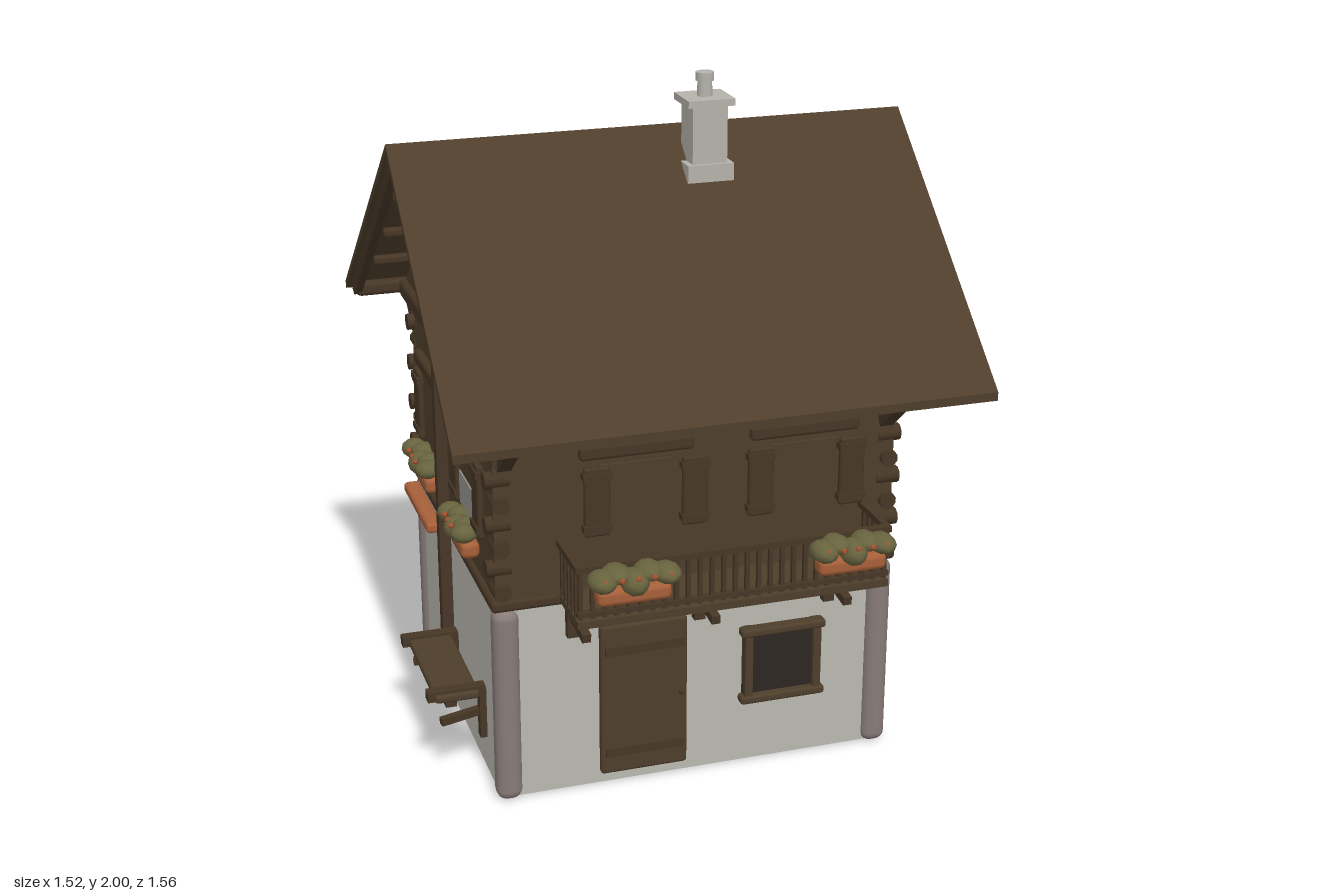
import * as THREE from 'three';
import { RoundedBoxGeometry } from 'three/addons/geometries/RoundedBoxGeometry.js';

const mat = (name, color) => Object.assign(new THREE.MeshStandardMaterial({ color }), { name });
const plaster = mat('plaster', 0xb9b8b0);
const stone = mat('corner stone', 0x867b77);
const wood = mat('brown wood', 0x4e3e2b);
const trim = mat('trim wood', 0x463625);
const pane = mat('dark pane', 0x2c2722);
const curtain = mat('curtain', 0x98948f);
const clay = mat('terracotta', 0xa65f39);
const leaf = mat('foliage', 0x68643f);
const petal = mat('blossom', 0xa8502f);
const chimneyGrey = mat('chimney grey', 0xb4b2aa);

function add(parent, name, geo, material, x = 0, y = 0, z = 0) {
  const m = new THREE.Mesh(geo, material);
  m.name = name;
  m.position.set(x, y, z);
  parent.add(m);
  return m;
}
const box = (p, name, material, w, h, d, x, y, z) =>
  add(p, name, new THREE.BoxGeometry(w, h, d), material, x, y, z);
const soft = (p, name, material, w, h, d, x, y, z) =>
  add(p, name, new RoundedBoxGeometry(w, h, d, 2, Math.min(w, h, d) * 0.35), material, x, y, z);

// Square beam between two points
function beam(p, name, material, a, b, t) {
  const va = new THREE.Vector3(...a), vb = new THREE.Vector3(...b);
  const m = box(p, name, material, t, t, va.distanceTo(vb), 0, 0, 0);
  m.position.copy(va).add(vb).multiplyScalar(0.5);
  m.lookAt(vb);
  return m;
}

// Prism along x from a list of [z, y] points
function prism(points, x0, x1) {
  const shape = new THREE.Shape(points.map(([z, y]) => new THREE.Vector2(-z, y)));
  const g = new THREE.ExtrudeGeometry(shape, { depth: x1 - x0, bevelEnabled: false });
  return g.rotateY(Math.PI / 2).translate(x0, 0, 0);
}

// Heap of leaves with a few blossoms
function flowers(p, w, x, y, z, d = 0.05) {
  const g = new THREE.Group();
  g.name = 'flowers';
  g.position.set(x, y, z);
  p.add(g);
  for (let i = 0; i < 5; i++) {
    const u = (i / 4 - 0.5) * w * 0.75;
    const m = add(g, 'leaves', new THREE.IcosahedronGeometry(1, 1), leaf, u, 0.012 * Math.sin(i * 2.3), 0.01 * Math.cos(i * 3));
    m.scale.set(w * 0.17, 0.03 + 0.008 * Math.sin(i * 4), d);
    add(g, 'blossom', new THREE.IcosahedronGeometry(0.009, 0), petal, u, 0.012, d * 0.9);
  }
}

function flowerBox(p, w, x, y, green = 1) {
  soft(p, 'flowerBox', clay, w, 0.05, 0.055, x, y, 0.03);
  if (green) flowers(p, w, x, y + 0.045, 0.035, 0.04);
}

// Shuttered upper window: x centre, bottom, top, width, shutter positions
function upperWindow(p, x, y0, y1, w, lintelW, shutters) {
  const h = y1 - y0;
  box(p, 'windowPane', wood, w, h, 0.008, x, (y0 + y1) / 2, 0.004);
  soft(p, 'lintel', trim, lintelW, 0.042, 0.03, x, y1 + 0.045, 0.012);
  for (const s of shutters) {
    soft(p, 'shutter', trim, 0.075, h, 0.02, s, (y0 + y1) / 2, 0.014);
    for (const e of [-1, 1]) box(p, 'shutterRail', trim, 0.083, 0.02, 0.03, s, (y0 + y1) / 2 + e * h * 0.38, 0.014);
  }
}

// Framed ground floor window
function lowerWindow(p, x, y, w, h) {
  box(p, 'windowPane', pane, w, h, 0.008, x, y, 0.006);
  for (const s of [-1, 1]) {
    box(p, 'windowJamb', wood, 0.024, h, 0.032, x + s * (w / 2 - 0.012), y, 0.012);
    soft(p, 'windowRail', wood, w + 0.025, 0.026, 0.04, x, y + s * (h / 2 - 0.012), 0.014);
  }
}

export function createModel() {
  const house = new THREE.Group();
  house.name = 'chalet';
  const zf = 0.465, zb = -0.575, zc = (zf + zb) / 2, depth = zf - zb;

  // Walls, base and corners
  box(house, 'lowerWalls', plaster, 1.17, 0.598, depth - 0.01, 0, 0.304, zc);
  box(house, 'floorPlate', wood, 0.95, 0.006, 0.84, 0, 0.003, zc);
  box(house, 'upperWalls', wood, 1.18, 0.56, depth, 0, 0.885, zc);
  soft(house, 'floorBeam', trim, 1.21, 0.035, depth + 0.03, 0, 0.618, zc);
  for (const x of [-1, 1]) for (const z of [zf - 0.02, zb + 0.02]) {
    const c = add(house, 'cornerPillar', new RoundedBoxGeometry(0.075, 0.6, 0.075, 3, 0.03), stone, x * 0.562, 0.3, z);
    c.scale.set(1, 1, 1);
    for (let i = 0; i < 8; i++) {
      const log = add(house, 'logEnd', new THREE.CylinderGeometry(0.025, 0.025, 0.07, 10), trim, x * 0.572, 0.66 + i * 0.066, z);
      if (i % 2) { log.rotation.z = Math.PI / 2; log.position.x += x * 0.005; }
      else { log.rotation.x = Math.PI / 2; log.position.z += Math.sign(z) * 0.005; }
    }
  }

  // Four facades: local x runs along the wall, local z points outward
  const facade = (name, x, z, turn) => {
    const g = new THREE.Group();
    g.name = name;
    g.position.set(x, 0, z);
    g.rotation.y = turn;
    house.add(g);
    return g;
  };
  const front = facade('frontFacade', 0, zf, 0);
  const back = facade('backFacade', 0, zb, Math.PI);
  const left = facade('leftFacade', 0.59, 0, Math.PI / 2);
  const right = facade('rightFacade', -0.59, 0, -Math.PI / 2);

  // Front door and windows
  soft(front, 'door', wood, 0.26, 0.475, 0.03, -0.165, 0.28, 0.008);
  for (const y of [0.115, 0.44]) box(front, 'doorBatten', trim, 0.235, 0.026, 0.02, -0.165, y, 0.022);
  add(front, 'doorKnob', new THREE.SphereGeometry(0.009, 8, 6), trim, -0.055, 0.28, 0.028);
  lowerWindow(front, 0.257, 0.325, 0.235, 0.24);
  upperWindow(front, -0.185, 0.8, 1.005, 0.21, 0.33, [-0.3, -0.015]);
  upperWindow(front, 0.31, 0.8, 1.005, 0.2, 0.325, [0.18, 0.455]);

  // Balcony
  const bal = new THREE.Group();
  bal.name = 'balcony';
  front.add(bal);
  box(bal, 'balconyFloor', wood, 0.91, 0.022, 0.2, 0.045, 0.625, 0.1);
  box(bal, 'topRail', trim, 0.91, 0.018, 0.025, 0.045, 0.79, 0.19);
  box(bal, 'bottomRail', trim, 0.91, 0.014, 0.02, 0.045, 0.655, 0.19);
  for (let i = 0; i <= 26; i++)
    box(bal, 'baluster', trim, 0.012, 0.15, 0.012, -0.4 + i * 0.0342, 0.715, 0.19);
  for (const x of [-0.405, 0.495]) {
    box(bal, 'sideRail', trim, 0.02, 0.018, 0.2, x, 0.79, 0.1);
    for (let i = 0; i < 5; i++) box(bal, 'sideBaluster', trim, 0.012, 0.15, 0.012, x, 0.715, 0.03 + i * 0.035);
  }
  for (const x of [-0.375, 0, 0.395]) {
    box(bal, 'bracketPost', trim, 0.033, 0.11, 0.025, x, 0.555, 0.012);
    beam(bal, 'bracketBrace', trim, [x, 0.53, 0.02], [x, 0.615, 0.15], 0.025);
  }
  for (const [x, w] of [[-0.265, 0.21], [0.367, 0.2]]) {
    soft(bal, 'flowerBox', clay, w, 0.05, 0.06, x, 0.725, 0.235);
    flowers(bal, w * 1.15, x, 0.775, 0.24, 0.055);
  }

  // Left side
  lowerWindow(left, -0.172, 0.322, 0.25, 0.23);
  for (const x of [-0.21, -0.14]) box(left, 'curtain', curtain, 0.06, 0.075, 0.004, x, 0.28, 0.013);
  upperWindow(left, -0.13, 0.785, 1.005, 0.23, 0.315, [-0.285, 0.035]);
  box(left, 'curtain', curtain, 0.225, 0.1, 0.004, -0.13, 0.835, 0.011);
  flowerBox(left, 0.23, -0.145, 0.718);
  upperWindow(left, 0.28, 0.76, 1.025, 0.21, 0.29, [0.41]);
  for (const x of [0.235, 0.32]) box(left, 'curtain', curtain, 0.055, 0.24, 0.004, x, 0.895, 0.011);
  for (const x of [0.185, 0.278, 0.365]) box(left, 'windowBar', trim, 0.018, 0.27, 0.02, x, 0.895, 0.01);
  flowerBox(left, 0.23, 0.29, 0.71, 0);
  box(left, 'wallPlank', trim, 0.055, 0.38, 0.02, 0.527, 0.825, 0.01);
  box(left, 'signPost', trim, 0.048, 0.17, 0.025, 0.055, 0.53, 0.008);
  soft(left, 'trough', clay, 0.35, 0.034, 0.04, 0.205, 0.43, 0.012);

  // Right side
  upperWindow(right, -0.3, 0.785, 1.005, 0.22, 0.3, [-0.44]);
  flowerBox(right, 0.25, -0.3, 0.72);
  upperWindow(right, 0.2, 0.785, 1.005, 0.22, 0.3, [0.06, 0.34]);
  box(right, 'curtain', curtain, 0.2, 0.1, 0.004, 0.2, 0.835, 0.011);
  flowerBox(right, 0.22, 0.2, 0.72);
  soft(right, 'trough', clay, 0.35, 0.034, 0.05, -0.32, 0.597, 0.04);
  box(right, 'tallPost', trim, 0.035, 1.13, 0.035, -0.13, 0.565, 0.016);
  // Wall bench
  soft(right, 'benchSeat', wood, 0.42, 0.025, 0.13, 0.11, 0.27, 0.085);
  for (const x of [-0.07, 0.29]) {
    box(right, 'benchArm', trim, 0.035, 0.03, 0.17, x, 0.275, 0.085);
    beam(right, 'benchBrace', trim, [x, 0.14, 0.005], [x, 0.255, 0.11], 0.022);
    box(right, 'benchUpright', trim, 0.03, 0.16, 0.02, x, 0.2, 0.008);
  }

  // Back side
  lowerWindow(back, -0.3, 0.325, 0.23, 0.24);
  upperWindow(back, -0.34, 0.785, 1.005, 0.23, 0.31, []);
  flowerBox(back, 0.3, -0.34, 0.72, 0);
  upperWindow(back, 0.19, 0.785, 1.005, 0.23, 0.33, [0.335]);
  flowerBox(back, 0.3, 0.19, 0.72, 0);

  // Roof shell, barge boards and gables
  const rz = 0.022, ry = 1.835, fz = 0.76, bz = -0.775, ey = 1.205;
  const chevron = (top, t) => [[fz, ey - top], [rz, ry - top], [bz, ey - top],
    [bz, ey - top - t], [rz, ry - top - t], [fz, ey - top - t]];
  add(house, 'roof', prism(chevron(0, 0.025), -0.76, 0.76), wood);
  for (const s of [-1, 1]) {
    const a = s * 0.735;
    add(house, 'bargeBoard', prism([[0.735, 1.2], [rz, 1.812], [-0.745, 1.2], [-0.7, 1.18], [rz, 1.755], [0.69, 1.18]], a - 0.012, a + 0.012), trim);
    add(house, 'gable', prism([[0.7, 1.19], [rz, 1.79], [-0.7, 1.19]], s * 0.57 - 0.02, s * 0.57 + 0.02), wood);
    soft(house, 'gableBeam', trim, 0.05, 0.06, 1.4, s * 0.585, 1.2, 0.025);
    soft(house, 'kingPost', trim, 0.03, 0.14, 0.035, s * 0.7, 1.68, rz);

    // Round attic window
    const w = s > 0 ? left : right;
    const u = -s * 0.06;
    const disc = add(w, 'roundPane', new THREE.CylinderGeometry(0.13, 0.13, 0.012, 28), wood, u, 1.385, 0.004);
    disc.rotation.x = Math.PI / 2;
    add(w, 'roundFrame', new THREE.TorusGeometry(0.13, 0.014, 8, 32), trim, u, 1.385, 0.008);
    const c = new THREE.Shape();
    c.moveTo(-0.01, 0.085);
    c.quadraticCurveTo(0.075, 0.1, 0.08, 0);
    c.quadraticCurveTo(0.075, -0.1, 0.0, -0.085);
    c.quadraticCurveTo(-0.03, -0.05, 0.01, 0);
    c.quadraticCurveTo(-0.02, 0.04, -0.01, 0.085);
    add(w, 'roundCurtain', new THREE.ShapeGeometry(c, 10), curtain, u + 0.01, 1.385, 0.012);

    // Diagonal eave braces
    for (const [z, e] of [[zf, 1], [zb, -1]]) {
      const x = s * 0.56;
      beam(house, 'eaveBrace', trim, [x, 1.04, z], [x, 1.15, z + e * 0.13], 0.04);
      soft(house, 'eaveArm', trim, 0.045, 0.04, 0.22, x, 1.165, z + e * 0.1);
    }
  }
  // Purlins and eave beams
  for (const [z, y] of [[0.71, 1.195], [-0.71, 1.195]]) soft(house, 'eaveBeam', trim, 1.48, 0.045, 0.045, 0, y, z);
  for (const [z, y] of [[rz, 1.765], [0.2, 1.63], [-0.17, 1.63], [0.38, 1.47], [-0.35, 1.475], [0.55, 1.33], [-0.54, 1.335]])
    soft(house, 'purlin', trim, 1.42, 0.028, 0.03, 0, y, z);

  // Chimney
  const chim = new THREE.Group();
  chim.name = 'chimney';
  chim.position.set(0.125, 0, 0.125);
  house.add(chim);
  box(chim, 'chimneyFoot', chimneyGrey, 0.135, 0.05, 0.125, 0, 1.725, 0);
  box(chim, 'chimneyShaft', chimneyGrey, 0.102, 0.22, 0.102, 0, 1.81, 0);
  box(chim, 'chimneyCap', chimneyGrey, 0.137, 0.02, 0.13, 0, 1.923, 0);
  add(chim, 'chimneyPot', new THREE.CylinderGeometry(0.02, 0.022, 0.06, 14), chimneyGrey, 0, 1.96, 0);
  add(chim, 'chimneyPotRim', new THREE.CylinderGeometry(0.026, 0.026, 0.024, 14), chimneyGrey, 0, 1.988, 0);
  return house;
}
